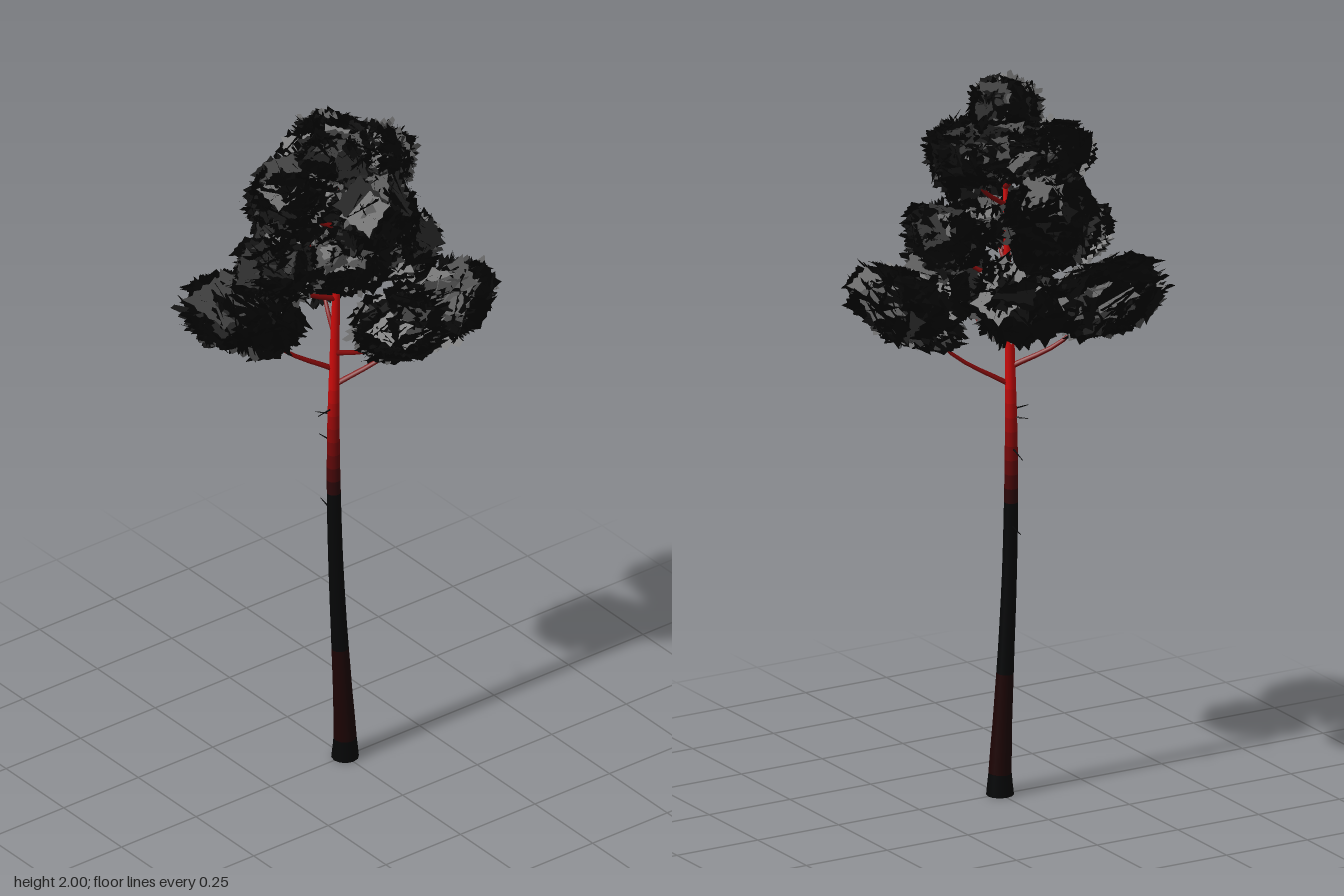
import * as THREE from 'three';

const BARK = { base: 0x1c0303, dark: 0x050607, red: 0xcc0a0a, branch: 0x800808 };
const material = (color, extra = {}) => new THREE.MeshStandardMaterial({ color, ...extra });
const V = (x, y, z) => new THREE.Vector3(x, y, z);

let seed = 7;
const rand = () => {
  seed = (seed * 16807) % 2147483647;
  return seed / 2147483647;
};

// Trunk stations: height, x, z, radius
const TRUNK = [
  [0, 0, 0, 0.037], [0.06, 0, 0, 0.031], [0.2, -0.006, -0.002, 0.026], [0.4, -0.014, -0.008, 0.022],
  [0.6, -0.02, -0.014, 0.020], [0.8, -0.021, -0.021, 0.019], [1.0, -0.019, -0.026, 0.017],
  [1.2, -0.015, -0.027, 0.014], [1.4, -0.012, -0.024, 0.011], [1.6, -0.01, -0.015, 0.008], [1.86, -0.02, 0.01, 0.004],
];
const trunkCurve = new THREE.CatmullRomCurve3(TRUNK.map(([y, x, z]) => V(x, y, z)));

function trunkAt(y) {
  let i = 0;
  while (i < TRUNK.length - 2 && y > TRUNK[i + 1][0]) i++;
  const a = TRUNK[i], b = TRUNK[i + 1], t = (y - a[0]) / (b[0] - a[0]);
  const p = trunkCurve.getPoint((i + t) / (TRUNK.length - 1));
  return { p, r: THREE.MathUtils.lerp(a[3], b[3], t) };
}

// Tube whose radius follows radiusAt(t)
function limb(name, curve, radiusAt, segments, sides, color) {
  const geo = new THREE.TubeGeometry(curve, segments, 1, sides);
  const pos = geo.attributes.position, v = V(0, 0, 0);
  for (let i = 0; i < pos.count; i++) {
    const t = Math.floor(i / (sides + 1)) / segments;
    const c = curve.getPointAt(t);
    v.fromBufferAttribute(pos, i).sub(c).multiplyScalar(radiusAt(t, c)).add(c);
    pos.setXYZ(i, v.x, v.y, v.z);
  }
  const mesh = new THREE.Mesh(geo, material(color, { side: THREE.DoubleSide }));
  mesh.name = name;
  return mesh;
}

// Trunk in bands, fading from dark lower bark to red upper bark
function makeTrunk() {
  const trunk = new THREE.Group();
  trunk.name = 'trunk';
  const bands = [[0, 0.06, BARK.dark], [0.06, 0.34, BARK.base], [0.34, 0.82, BARK.dark]];
  for (let i = 0; i < 8; i++) {
    const color = new THREE.Color(BARK.dark).lerp(new THREE.Color(BARK.red), ((i + 1) / 9) ** 1.5);
    bands.push([0.82 + i * 0.04, 0.86 + i * 0.04, color]);
  }
  bands.push([1.14, 1.86, BARK.red]);
  for (const [y0, y1, color] of bands) {
    const n = Math.max(2, Math.ceil((y1 - y0) / 0.07));
    const pts = Array.from({ length: n + 1 }, (_, i) => trunkAt(y0 + ((y1 - y0) * i) / n).p);
    trunk.add(limb('trunkBand', new THREE.CatmullRomCurve3(pts), (t, c) => trunkAt(c.y).r, n, 12, color));
  }
  const foot = new THREE.Mesh(new THREE.CircleGeometry(0.037, 12), material(BARK.dark));
  foot.rotation.x = Math.PI / 2;
  foot.name = 'trunkFoot';
  trunk.add(foot);
  return trunk;
}

function randomDirection() {
  const y = rand() * 2 - 1, a = rand() * Math.PI * 2, s = Math.sqrt(1 - y * y);
  return V(Math.cos(a) * s, y, Math.sin(a) * s);
}

// Flat needle spray: a serrated fan spread around direction u in the plane of u and w
function addSpray(out, centre, u, w, length, spread, teeth) {
  const rim = (i) => {
    const a = spread * (i / teeth - 0.5);
    const square = 0.88 / Math.max(Math.abs(Math.cos(a)), Math.abs(Math.sin(a)));
    const l = length * (i % 2 ? 1 : 0.88) * square;
    return centre.clone().addScaledVector(u, Math.cos(a) * l).addScaledVector(w, Math.sin(a) * l);
  };
  for (let i = 0; i < teeth; i++) {
    for (const p of [centre, rim(i), rim(i + 1)]) out.push(p.x, p.y, p.z);
  }
}

// Slightly boxy unit ball of needles: upright fans plus tilted square pads over the surface
function needleGeometry() {
  const out = [];
  for (let i = 0; i < 150; i++) {
    const d = randomDirection();
    const w = randomDirection().cross(d).normalize();
    const boxy = (d.x ** 4 + d.y ** 4 + d.z ** 4) ** -0.15;
    if (i % 2) {
      addSpray(out, d.clone().multiplyScalar(0.15), d, w, (0.72 + rand() * 0.24) * boxy, 1.2, 12);
    } else {
      const u = w.clone().cross(d).addScaledVector(d, (rand() - 0.5) * 1.2).normalize();
      addSpray(out, d.clone().multiplyScalar((0.64 + rand() * 0.16) * boxy), u, w, 0.4 + rand() * 0.14, Math.PI * 2, 24);
    }
  }
  const geo = new THREE.BufferGeometry();
  geo.setAttribute('position', new THREE.Float32BufferAttribute(out, 3));
  geo.computeVertexNormals();
  return geo;
}

// Clumps: centre, radii (outward, up, across), upward tilt, branch start height
const CLUMPS = [
  [[-0.03, 1.9, 0.025], [0.1, 0.09, 0.1], 0, 1.78],
  [[0.12, 1.81, -0.02], [0.105, 0.085, 0.105], 0.35, 1.65],
  [[0.03, 1.83, -0.12], [0.11, 0.08, 0.115], 0.3, 1.7],
  [[-0.13, 1.78, -0.05], [0.11, 0.09, 0.105], 0.35, 1.65],
  [[0.01, 1.74, 0.12], [0.115, 0.125, 0.115], 0.2, 1.58],
  [[-0.03, 1.65, -0.19], [0.11, 0.125, 0.125], 0.35, 1.45],
  [[0.14, 1.57, 0.05], [0.115, 0.085, 0.11], 0.25, 1.45],
  [[-0.18, 1.56, -0.06], [0.115, 0.085, 0.115], 0.15, 1.42],
  [[-0.03, 1.59, 0.07], [0.09, 0.085, 0.1], 0.1, 1.48],
  [[0.06, 1.44, -0.19], [0.12, 0.12, 0.12], 0.45, 1.3],
  [[-0.23, 1.39, -0.15], [0.165, 0.095, 0.125], 0.35, 1.2],
  [[0.23, 1.37, 0.1], [0.165, 0.095, 0.125], 0.5, 1.15],
  [[0.04, 1.41, 0.18], [0.135, 0.09, 0.12], 0.4, 1.25],
];

export function createModel() {
  const tree = new THREE.Group();
  tree.name = 'pineTree';
  tree.add(makeTrunk());

  const needles = material(0x030303, { side: THREE.DoubleSide });
  const branches = new THREE.Group(), foliage = new THREE.Group();
  branches.name = 'branches';
  foliage.name = 'foliage';

  for (const [c, radii, tilt, startY] of CLUMPS) {
    // Needle clump, turned outward from the trunk
    const clump = new THREE.Mesh(needleGeometry(), needles);
    clump.name = 'needleClump';
    clump.position.set(...c);
    clump.scale.set(...radii);
    clump.rotation.set(0, Math.atan2(-c[2], c[0]), tilt, 'YXZ');
    foliage.add(clump);

    // Branch bending up from the trunk into the clump, with two side shoots
    const from = trunkAt(startY).p, to = V(...c);
    const bend = from.clone().lerp(to, 0.55);
    bend.y -= 0.035;
    const path = new THREE.CatmullRomCurve3([from, bend, to]);
    branches.add(limb('branch', path, (t) => 0.008 - 0.005 * t, 8, 6, BARK.branch));
    for (const side of [-1, 1]) {
      const start = path.getPoint(0.6);
      const out = to.clone().sub(from).setY(0).multiplyScalar(0.4).applyAxisAngle(V(0, 1, 0), side * 0.8);
      const shoot = new THREE.LineCurve3(start, start.clone().add(out).add(V(0, 0.05, 0)));
      branches.add(limb('sideShoot', shoot, (t) => 0.004 - 0.003 * t, 2, 5, BARK.branch));
    }
  }

  // Dead twigs on the bare trunk: height and offset of the tip
  const twigs = [[1.08, [-0.06, 0, 0.01]], [1.06, [-0.03, 0, -0.04]], [0.975, [0.01, -0.015, -0.075]], [0.755, [0.02, 0, -0.085]]];
  for (const [y, tip] of twigs) {
    const { p } = trunkAt(y);
    const path = new THREE.LineCurve3(p, p.clone().add(V(...tip)));
    branches.add(limb('deadTwig', path, (t) => 0.003 - 0.002 * t, 2, 5, BARK.dark));
  }

  tree.add(branches, foliage);
  return tree;
}
